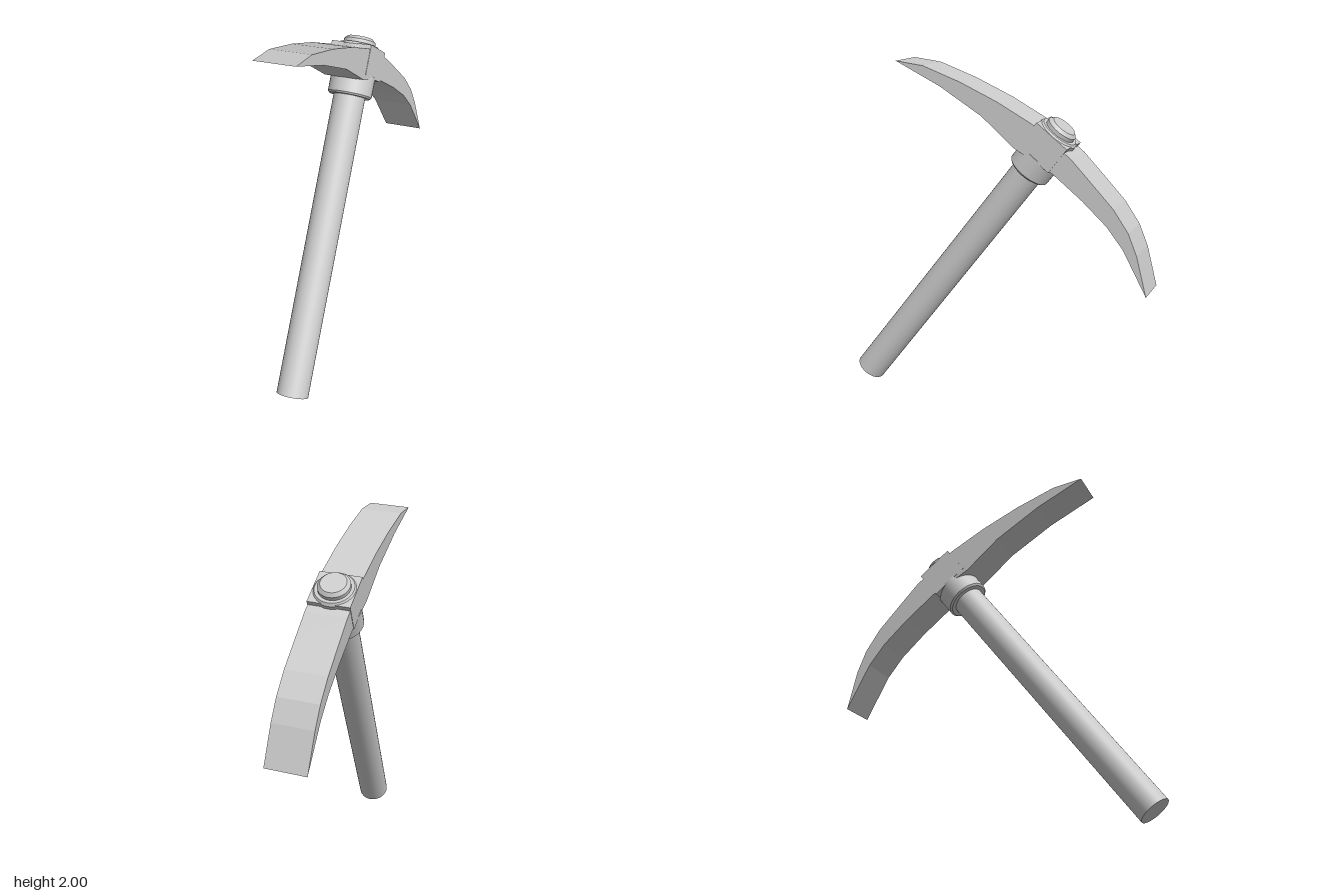
import * as THREE from 'three';

const material = new THREE.MeshStandardMaterial({ color: 0xcccccc });
const flat = new THREE.MeshStandardMaterial({ color: 0xcccccc, flatShading: true });

function part(name, geometry, mat = material) {
  const mesh = new THREE.Mesh(geometry, mat);
  mesh.name = name;
  return mesh;
}

// Turned part: each straight run of [radius, height] points keeps sharp edges
function turned(name, points) {
  const group = new THREE.Group();
  group.name = name;
  for (let i = 0; i < points.length - 1; i++) {
    const run = [points[i], points[i + 1]].map(([r, y]) => new THREE.Vector2(r, y));
    group.add(part(name + 'Band', new THREE.LatheGeometry(run, 32)));
  }
  return group;
}

export function createModel() {
  const model = new THREE.Group();
  model.name = 'pickaxe';

  // Tool built upright: handle along y, head along x, head width along z
  const tool = new THREE.Group();
  tool.name = 'tool';
  model.add(tool);

  // Handle
  const handle = part('handle', new THREE.CylinderGeometry(0.09, 0.09, 1.8, 32));
  handle.position.y = 0.9;
  tool.add(handle);

  // Collar under the head
  tool.add(turned('collar', [[0.085, 1.705], [0.115, 1.705], [0.125, 1.715], [0.125, 1.83], [0, 1.83]]));

  // Curved head: a broad arm on one side, a more sharply bent arm on the other
  const top = [[-0.957, 1.705], [-0.812, 1.792], [-0.586, 1.867], [-0.352, 1.926], [-0.129, 1.965],
    [0.16, 1.965], [0.329, 1.941], [0.506, 1.915], [0.65, 1.87], [0.766, 1.805], [0.95, 1.665]];
  const bottom = [[0.686, 1.78], [0.54, 1.815], [0.35, 1.83], [0.13, 1.832],
    [-0.12, 1.792], [-0.374, 1.803], [-0.664, 1.769]];
  const outline = new THREE.Shape([...top, ...bottom].map(([x, y]) => new THREE.Vector2(x, y)));
  const width = 0.236;
  const blade = new THREE.ExtrudeGeometry(outline, { depth: width, bevelEnabled: false });
  blade.translate(0, 0, -width / 2);
  tool.add(part('head', blade, flat));

  // Eye block where the handle passes through the head
  const eye = part('eye', new THREE.BoxGeometry(0.22, 0.17, width + 0.004), flat);
  eye.position.y = 1.905;
  tool.add(eye);

  // Stepped cap on top
  tool.add(turned('cap', [[0.108, 1.93], [0.108, 1.955], [0.12, 1.965], [0.12, 1.985], [0.108, 2.0],
    [0.09, 2.0], [0.09, 2.022], [0.072, 2.04], [0, 2.04]]));

  // Lean the tool so it rests on the end of its handle
  const up = new THREE.Vector3(0.561, 0.805, -0.192).normalize();
  const side = new THREE.Vector3(0.212, 0.064, 0.975);
  side.addScaledVector(up, -side.dot(up)).normalize();
  const along = new THREE.Vector3().crossVectors(up, side);
  tool.quaternion.setFromRotationMatrix(new THREE.Matrix4().makeBasis(along, up, side));
  tool.position.set(-0.825, 0.054, 0.243);

  return model;
}
